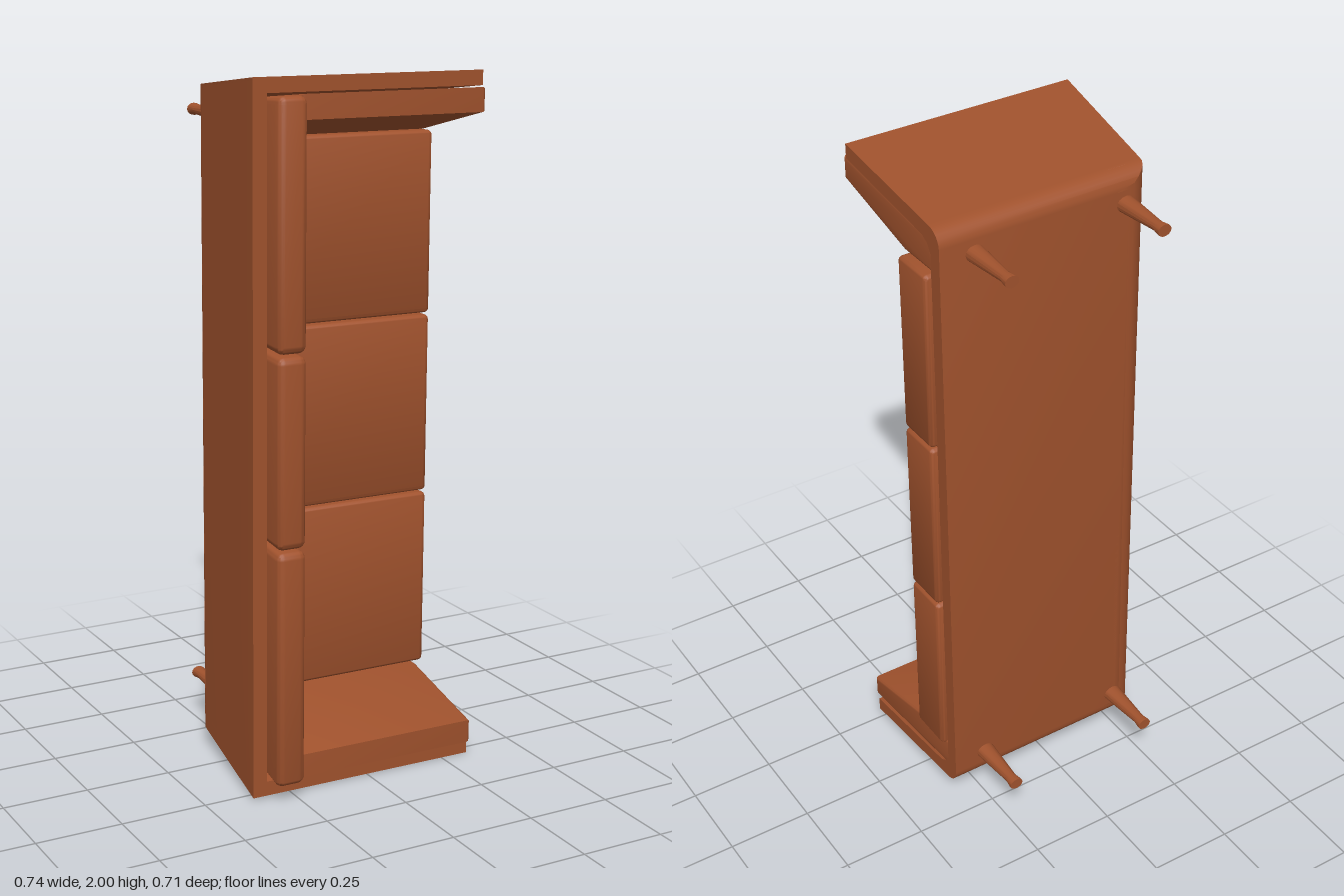
import * as THREE from 'three';
import { toCreasedNormals } from 'three/addons/utils/BufferGeometryUtils.js';
import { RoundedBoxGeometry } from 'three/addons/geometries/RoundedBoxGeometry.js';

// A three-seat sofa stood on its end: length along y, seat facing +z, backrest at -x.
const RIM = 0.285, BEND = -0.13, BASE = -0.183, FRONT = 0.3425, WALL = 0.042;
const flare = z => (z - BEND) / (RIM - BEND);
const curl = z => {
  const k = Math.min(1, Math.max(0, (BEND - z) / (BEND - BASE)));
  return 1 - Math.sqrt(1 - k * k);
};
// Outer faces of the backrest (x) and of the arms (half length) at height z
const backX = z => -0.308 - 0.052 * Math.max(0, flare(z)) + 0.07 * curl(z);
const halfLen = z => 0.95 + 0.0475 * Math.max(0, flare(z)) - 0.05 * curl(z);

// Heights sampled from the rim down around the lower edge
const levels = [RIM];
for (let i = 0; i <= 6; i++) levels.push(BEND + (BASE - BEND) * Math.sin(i * Math.PI / 12));

const shapeOf = pts => new THREE.Shape(pts.map(p => new THREE.Vector2(p[0], p[1])));

function warp(geo, rule) {
  const p = geo.attributes.position, v = new THREE.Vector3();
  for (let i = 0; i < p.count; i++) {
    v.fromBufferAttribute(p, i);
    rule(v);
    p.setXYZ(i, v.x, v.y, v.z);
  }
  return toCreasedNormals(geo, 0.6);
}

// Maps a (y, z) profile extruded along x
const alongX = new THREE.Matrix4().makeBasis(
  new THREE.Vector3(0, 1, 0), new THREE.Vector3(0, 0, 1), new THREE.Vector3(1, 0, 0));
// Maps a (z, x) profile extruded along y
const alongY = new THREE.Matrix4().makeBasis(
  new THREE.Vector3(0, 0, 1), new THREE.Vector3(1, 0, 0), new THREE.Vector3(0, 1, 0));

export function createModel() {
  const model = new THREE.Group();
  model.name = 'sofa';
  const leather = new THREE.MeshStandardMaterial({ color: 0xa0522d });
  leather.name = 'brown leather';

  const body = new THREE.Group();
  body.name = 'sofaBody';
  body.position.y = 1;
  body.rotation.z = -0.0075;
  model.add(body);
  const add = (name, geo) => {
    const mesh = new THREE.Mesh(geo, leather);
    mesh.name = name;
    body.add(mesh);
    return mesh;
  };

  // Arms and base: one U-shaped profile running from the backrest to the front
  const outer = levels.map(z => [halfLen(z), z]);
  const inner = [[halfLen(RIM) - WALL, RIM], [0.908, -0.1], [0.895, -0.125], [0.87, -0.14]];
  const mirror = pts => pts.map(([y, z]) => [-y, z]).reverse();
  const uShape = shapeOf([...outer, ...mirror(outer), ...mirror(inner).reverse(), ...inner.slice().reverse()]);
  const uGeo = new THREE.ExtrudeGeometry(uShape, { depth: 1, bevelEnabled: false }).applyMatrix4(alongX);
  add('armsAndBase', warp(uGeo, v => { v.x = backX(v.z) + v.x * (FRONT - backX(v.z)); }));

  // Backrest panel with a curled lower edge
  const backShape = shapeOf([
    ...levels.map(z => [z, backX(z)]),
    [BASE, -0.2], [-0.14, -0.2], [-0.14, -0.255], [-0.11, -0.27], [RIM, backX(RIM) + WALL]]);
  const backGeo = new THREE.ExtrudeGeometry(backShape, { depth: 2, bevelEnabled: false }).applyMatrix4(alongY);
  add('backrestPanel', warp(backGeo, v => { v.y = (v.y - 1) * halfLen(v.z); }));

  // Box cushion between two corners
  const cushion = (x0, x1, y0, y1, z0, z1, r) =>
    new RoundedBoxGeometry(x1 - x0, y1 - y0, z1 - z0, 3, r)
      .translate((x0 + x1) / 2, (y0 + y1) / 2, (z0 + z1) / 2);

  // Seat and back cushions
  const seatEnds = [-0.81, -0.269, 0.271, 0.81];
  const backEnds = [-0.955, -0.269, 0.271, 0.955];
  for (let i = 0; i < 3; i++) {
    const seat = cushion(-0.25, 0.3625, seatEnds[i] + 0.003, seatEnds[i + 1] - 0.003, -0.141, 0, 0.014);
    add('seatCushion', toCreasedNormals(seat, 0.6));

    const back = cushion(-0.318, -0.23, backEnds[i] + 0.003, backEnds[i + 1] - 0.003, -0.141, 0.355, 0.022);
    add('backCushion', warp(back, v => {
      // follow the leaning backrest and the flared arms
      if (v.x < -0.274) v.x += Math.max(0, backX(v.z) - backX(RIM));
      const limit = halfLen(v.z) - WALL;
      v.y = Math.max(-limit, Math.min(limit, v.y));
    }));
  }

  // Wedge-shaped arm cushions, mirrored at both ends
  const b = 0.01;
  for (const s of [1, -1]) {
    const wedge = shapeOf([[0.942, 0.3], [0.896, -0.12], [0.88, -0.13],
      [0.822, -0.13], [0.822, -0.002], [0.893, 0.3]].map(([y, z]) => [s * y, z]));
    const geo = new THREE.ExtrudeGeometry(wedge, {
      depth: 0.566 - 2 * b, bevelThickness: b, bevelSize: b, bevelSegments: 3 });
    geo.applyMatrix4(alongX).translate(-0.228 + b, 0, 0);
    add('armCushion', toCreasedNormals(geo, 0.6));
  }

  // Four tapered legs with slightly flared feet
  const legProfile = [[0, 0], [0.021, 0], [0.021, 0.006], [0.017, 0.03], [0.029, 0.178], [0, 0.178]]
    .map(p => new THREE.Vector2(p[0], p[1]));
  const legGeo = toCreasedNormals(
    new THREE.LatheGeometry(legProfile, 16).rotateX(Math.PI / 2).scale(1, 0.82, 1), 0.6);
  for (const x of [-0.229, 0.237]) {
    for (const y of [-0.86, 0.86]) add('leg', legGeo).position.set(x, y, -0.355);
  }

  return model;
}
